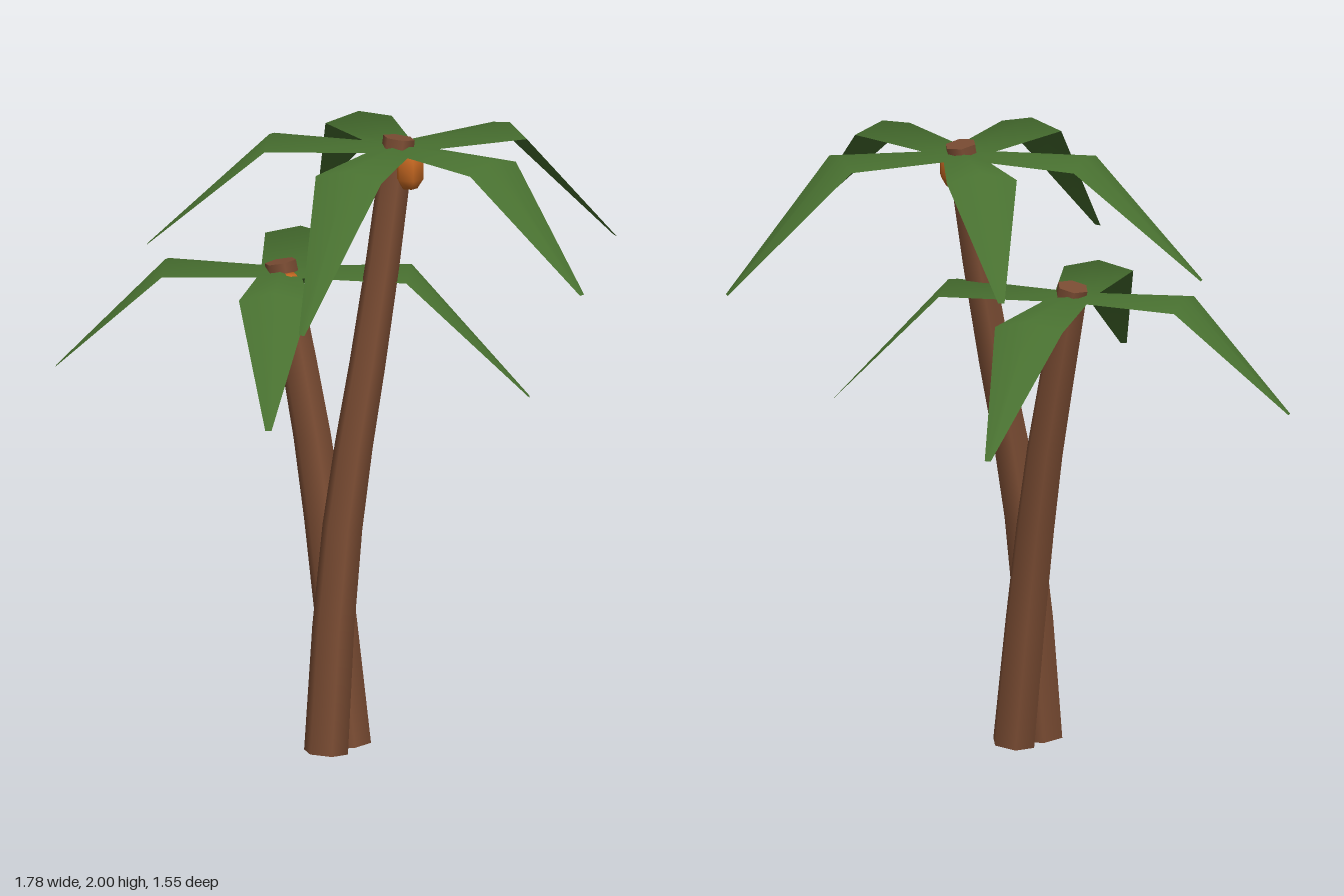
import * as THREE from 'three';

const leafMat = new THREE.MeshStandardMaterial({ color: 0x487030, side: THREE.DoubleSide });
leafMat.name = 'leaf green';
const barkMat = new THREE.MeshStandardMaterial({ color: 0x7a4c33 });
barkMat.name = 'bark brown';
const nutMat = new THREE.MeshStandardMaterial({ color: 0xbf6420 });
nutMat.name = 'coconut orange';

function part(name, geometry, material) {
  const mesh = new THREE.Mesh(geometry, material);
  mesh.name = name;
  return mesh;
}

// Six-sided tapered trunk: a cylinder whose rings follow a curve
function trunk(points) {
  const curve = new THREE.CatmullRomCurve3(points.map(p => new THREE.Vector3(...p)));
  const geo = new THREE.CylinderGeometry(0.052, 0.072, 1, 6, 6);
  const pos = geo.attributes.position, nor = geo.attributes.normal;
  const up = new THREE.Vector3(0, 1, 0), q = new THREE.Quaternion(), v = new THREE.Vector3();
  for (let i = 0; i < pos.count; i++) {
    const t = THREE.MathUtils.clamp(pos.getY(i) + 0.5, 0, 1);
    q.setFromUnitVectors(up, curve.getTangent(t));
    v.set(pos.getX(i), 0, pos.getZ(i)).applyQuaternion(q).add(curve.getPoint(t));
    pos.setXYZ(i, v.x, v.y, v.z);
    v.fromBufferAttribute(nor, i).applyQuaternion(q);
    nor.setXYZ(i, v.x, v.y, v.z);
  }
  return part('trunk', geo, barkMat);
}

// Crown: one sheet of ridged, drooping leaves around a hub.
// tips are [x, y, z], listed by increasing angle about the hub.
function crown(hub, tips) {
  const [hx, hy, hz] = hub;
  const verts = [hx, hy, hz], index = [], n = tips.length;
  const leaves = tips.map(([x, y, z]) => ({
    y, angle: Math.atan2(z - hz, x - hx), length: Math.hypot(x - hx, z - hz),
  }));
  // point at a distance along a leaf angle and offset sideways
  const add = (a, along, side, y) => verts.push(
    hx + Math.cos(a) * along - Math.sin(a) * side, y,
    hz + Math.sin(a) * along + Math.cos(a) * side);

  leaves.forEach((leaf, i) => {
    const { angle, length, y } = leaf;
    const mid = length * 0.515;
    const turn = Math.PI * 2;
    const half = ((leaves[(i + 1) % n].angle - angle + turn * 2) % turn) / 2;
    add(angle + half, 0.072 / Math.sin(half), 0, hy - 0.01); // notch after the leaf
    add(angle, mid, -0.113, hy - 0.008);
    add(angle, mid, 0, hy + 0.02);                           // ridge
    add(angle, mid, 0.113, hy - 0.008);
    add(angle, length, -0.01, y);
    add(angle, length, 0.01, y);
    const Q = 1 + i * 6, P = 1 + ((i + n - 1) % n) * 6;
    const L = Q + 1, M = Q + 2, R = Q + 3, TL = Q + 4, TR = Q + 5;
    index.push(0, M, L, 0, L, P, 0, Q, R, 0, R, M, M, TL, L, M, TR, TL, M, R, TR);
  });

  const geo = new THREE.BufferGeometry();
  geo.setAttribute('position', new THREE.Float32BufferAttribute(verts, 3));
  geo.setIndex(index);
  geo.computeVertexNormals();
  return part('leaves', geo, leafMat);
}

// Blunt barrel-shaped coconut
function coconut(x, y, z) {
  const profile = [[0, -0.06], [0.026, -0.06], [0.046, -0.028], [0.046, 0.028], [0.026, 0.06], [0, 0.06]]
    .map(p => new THREE.Vector2(...p));
  const mesh = part('coconut', new THREE.LatheGeometry(profile, 6), nutMat);
  mesh.position.set(x, y, z);
  return mesh;
}

function palm(name, trunkPoints, hub, tips, nut) {
  const group = new THREE.Group();
  group.name = name;
  group.add(trunk(trunkPoints), crown(hub, tips), coconut(...nut));
  return group;
}

export function createModel() {
  const model = new THREE.Group();
  model.name = 'palmTrees';

  model.add(palm('tallPalm',
    [[-0.14, 0.01, 0.25], [-0.095, 0.6, 0.225], [-0.037, 1.0, 0.205], [0.038, 1.4, 0.18], [0.127, 1.99, 0.15]],
    [0.125, 1.966, 0.15],
    [[0.05, 1.645, -0.51], [0.885, 1.56, -0.03], [0.56, 1.61, 0.77], [-0.36, 1.545, 0.765], [-0.615, 1.61, -0.16]],
    [0.145, 1.9, 0.21]));

  model.add(palm('shortPalm',
    [[-0.045, 0.01, 0.18], [-0.095, 0.6, 0.125], [-0.135, 1.0, 0.065], [-0.185, 1.35, 0.01], [-0.217, 1.56, -0.02]],
    [-0.215, 1.536, -0.02],
    [[0.115, 1.2, -0.775], [0.53, 1.13, 0.245], [-0.43, 1.195, 0.62], [-0.885, 1.195, -0.275]],
    [-0.207, 1.475, 0.04]));

  return model;
}
